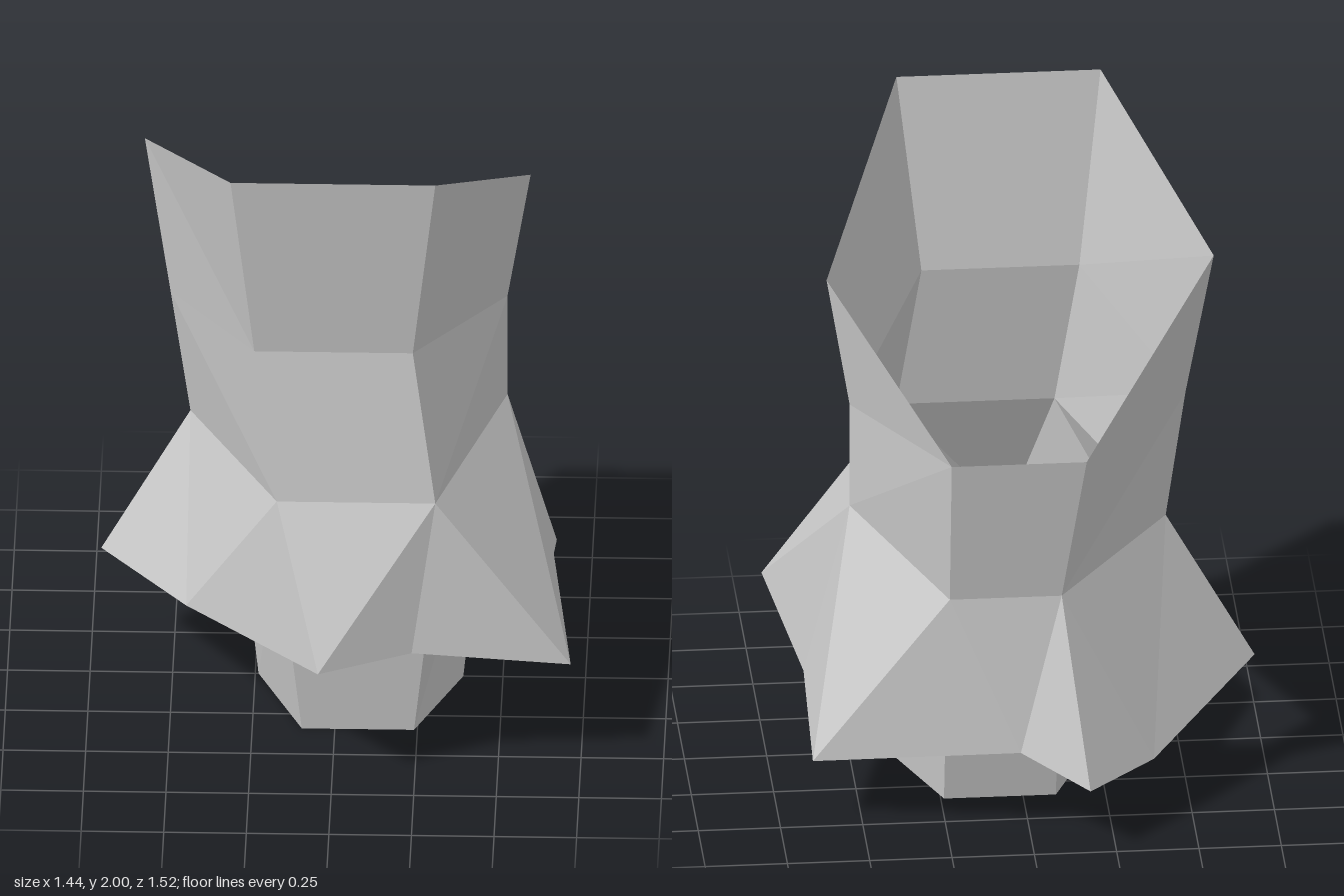
import * as THREE from 'three';

const material = new THREE.MeshStandardMaterial({ color: 0xc8c8c8, side: THREE.DoubleSide });
material.name = 'grey';
material.flatShading = true;

// Flat-shaded mesh from a list of triangles, skipping collapsed ones
function facetMesh(name, triangles) {
  const points = triangles
    .filter(([a, b, c]) => a !== b && b !== c && c !== a)
    .flat().map((p) => new THREE.Vector3(...p));
  const geometry = new THREE.BufferGeometry().setFromPoints(points);
  geometry.computeVertexNormals();
  const mesh = new THREE.Mesh(geometry, material);
  mesh.name = name;
  return mesh;
}

// Closed band between two rings; each character gives the way that quad is split
function band(lower, upper, splits) {
  const triangles = [];
  lower.forEach((a, i) => {
    const j = (i + 1) % lower.length;
    const b = lower[j], c = upper[j], d = upper[i];
    if (splits[i] === '/') triangles.push([a, b, c], [a, c, d]);
    else triangles.push([a, b, d], [b, c, d]);
  });
  return triangles;
}

// Closed band between rings of unequal count: 'w' steps the upper ring, 'h' the lower
function stitch(upper, lower, steps) {
  const triangles = [];
  let u = 0, l = 0;
  for (const step of steps) {
    const a = upper[u % upper.length], b = lower[l % lower.length];
    if (step === 'w') triangles.push([a, b, upper[++u % upper.length]]);
    else triangles.push([a, b, lower[++l % lower.length]]);
  }
  return triangles;
}

export function createModel() {
  const group = new THREE.Group();
  group.name = 'flaredCollar';

  // Rings run front left, front right, right, back right, back left, left
  const backRight = [0.24, 1.25, -0.62], backLeft = [-0.17, 1.25, -0.62];
  const rim = [[-0.31, 2, 0.55], [0.31, 2, 0.55], [0.58, 1.66, -0.14],
    backRight, backLeft, [-0.59, 1.73, -0.21]];
  const middle = [[-0.24, 1.38, 0.48], [0.24, 1.38, 0.48], [0.51, 1.24, -0.14],
    backRight, backLeft, [-0.51, 1.24, -0.14]];
  const waist = [[-0.17, 0.9, 0.55], [0.31, 0.9, 0.55], [0.51, 0.9, -0.14],
    [0.24, 0.77, -0.55], [-0.1, 0.77, -0.55], [-0.45, 0.83, -0.14]];

  // Jagged hem, starting at the front point
  const hem = [[-0.04, 0.42, 0.76], [0.24, 0.42, 0.62], [0.72, 0.35, 0.55],
    [0.65, 0.35, -0.14], [0.65, 0.21, -0.48], [0.03, 0.28, -0.62],
    [-0.17, 0.21, -0.76], [-0.38, 0.21, -0.55], [-0.72, 0.35, -0.14],
    [-0.45, 0.42, 0.34]];

  // Inner open tube
  const tubeTop = [[-0.17, 0.65, 0.41], [0.31, 0.65, 0.41], [0.45, 0.66, -0.07],
    [0.24, 0.68, -0.48], [-0.1, 0.68, -0.48], [-0.31, 0.65, 0]];
  const tubeBottom = [[-0.1, 0, 0.34], [0.24, 0, 0.34], [0.38, 0, 0],
    [0.24, 0, -0.34], [-0.1, 0, -0.34], [-0.24, 0, 0]];

  group.add(
    facetMesh('upperCollar', band(middle, rim, '//\\//\\')),
    facetMesh('lowerCollar', band(waist, middle, '/////\\')),
    facetMesh('flaredSkirt', stitch(waist, hem, 'whhwhhwhwhhwhhwh')),
    facetMesh('innerTube', band(tubeBottom, tubeTop, '//////')),
  );
  return group;
}
